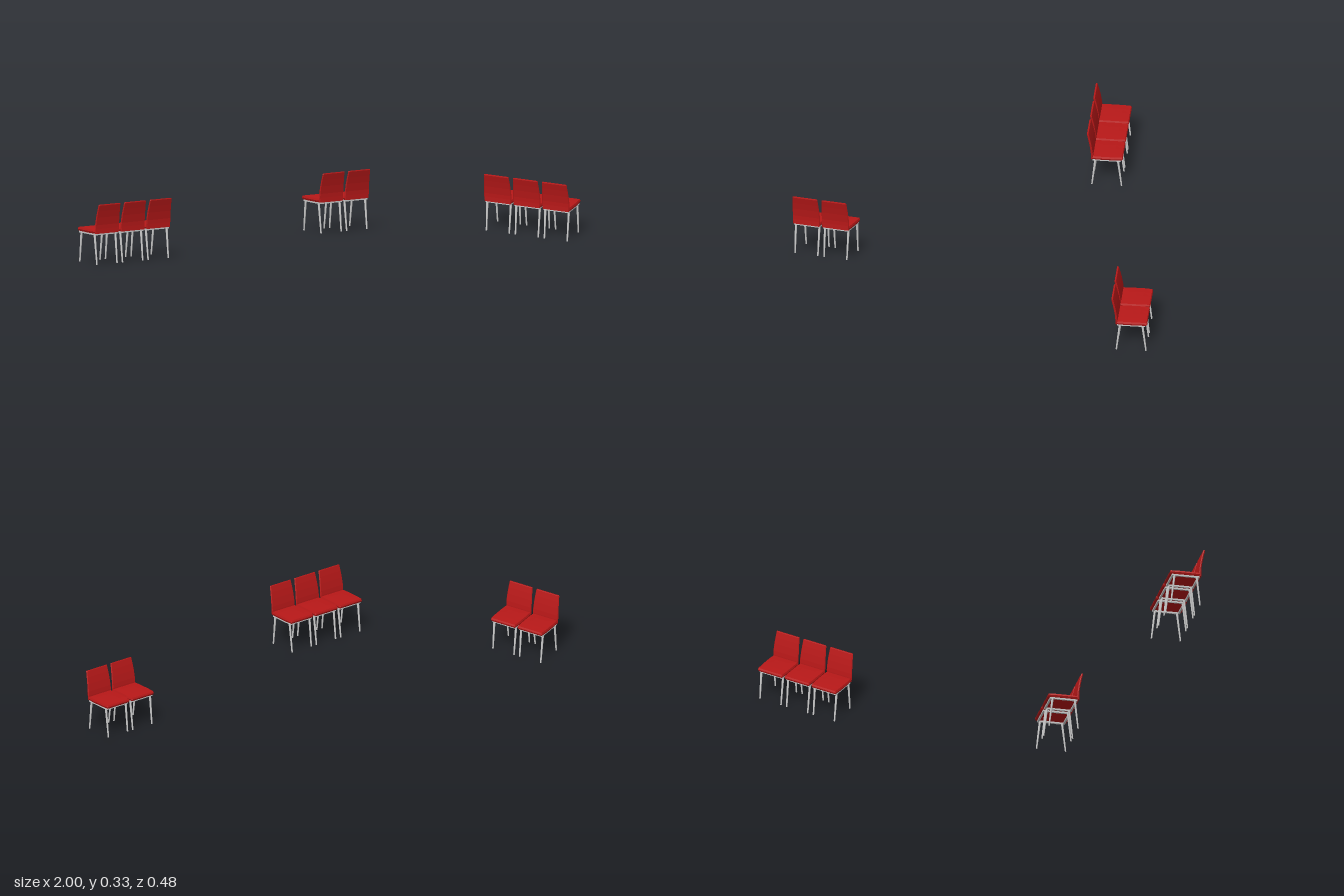
import * as THREE from 'three';

const red = new THREE.MeshStandardMaterial({ color: 0xb81818, flatShading: true });
const grey = new THREE.MeshStandardMaterial({ color: 0xcccccc });

// Cushion swept through stations [z, y, half width, half thickness, crown]
function cushion(name, stations) {
  const X = new THREE.Vector3(1, 0, 0);
  const centres = stations.map(([z, y]) => new THREE.Vector3(0, y, z));
  const pos = [], index = [], n = 8;
  stations.forEach(([z, y, w, t, crown], i) => {
    const a = centres[Math.max(i - 1, 0)], b = centres[Math.min(i + 1, centres.length - 1)];
    const N = b.clone().sub(a).normalize().cross(X);
    const e = w - 0.004;
    const ring = [[w, 0], [e, t], [e * 0.5, t + crown * 0.8], [0, t + crown],
      [-e * 0.5, t + crown * 0.8], [-e, t], [-w, 0], [-e, -t], [e, -t]];
    for (const [u, v] of ring) pos.push(u, y + N.y * v, z + N.z * v);
  });
  const m = n + 1, last = (stations.length - 1) * m;
  for (let s = 0; s < last; s += m) {
    for (let i = 0; i < m; i++) {
      const a = s + i, b = s + (i + 1) % m;
      index.push(a, b, b + m, a, b + m, a + m);
    }
  }
  // End caps
  for (let i = 1; i < m - 1; i++) {
    index.push(0, i + 1, i, last, last + i, last + i + 1);
  }
  const geo = new THREE.BufferGeometry();
  geo.setAttribute('position', new THREE.Float32BufferAttribute(pos, 3));
  geo.setIndex(index);
  geo.computeVertexNormals();
  const mesh = new THREE.Mesh(geo, red);
  mesh.name = name;
  return mesh;
}

// Tapered leg from its foot to the frame
function leg(foot, top) {
  const dir = top.clone().sub(foot);
  const mesh = new THREE.Mesh(new THREE.CylinderGeometry(0.0063, 0.0042, dir.length(), 12), grey);
  mesh.position.copy(foot).add(top).multiplyScalar(0.5);
  mesh.quaternion.setFromUnitVectors(new THREE.Vector3(0, 1, 0), dir.normalize());
  mesh.name = 'leg';
  return mesh;
}

function rail(name, w, d, x, z) {
  const mesh = new THREE.Mesh(new THREE.BoxGeometry(w, 0.009, d), grey);
  mesh.position.set(x, 0.1645, z);
  mesh.name = name;
  return mesh;
}

function createChair() {
  const chair = new THREE.Group();
  chair.name = 'chair';

  // Upholstered seat, gently crowned, with a bevelled front edge
  chair.add(cushion('seat', [
    [-0.087, 0.179, 0.074, 0.002, 0],
    [-0.083, 0.179, 0.077, 0.0095, 0],
    [-0.04, 0.179, 0.08, 0.01, 0.0015],
    [0, 0.179, 0.08, 0.01, 0.002],
    [0.04, 0.179, 0.08, 0.01, 0.0015],
    [0.076, 0.179, 0.078, 0.0095, 0],
  ]));

  // Backrest, curving away from the seat and narrowing to the top
  chair.add(cushion('backrest', [
    [0.079, 0.169, 0.077, 0.0062, 0],
    [0.079, 0.195, 0.0795, 0.0058, 0],
    [0.0805, 0.217, 0.079, 0.0052, 0],
    [0.087, 0.258, 0.077, 0.005, 0],
    [0.0945, 0.293, 0.0745, 0.005, 0],
    [0.1025, 0.325, 0.072, 0.005, 0],
    [0.103, 0.328, 0.071, 0.004, 0],
  ]));

  // Rail frame under the seat and splayed legs
  for (const s of [-1, 1]) {
    chair.add(rail('sideRail', 0.01, 0.152, s * 0.068, 0));
    chair.add(rail('crossRail', 0.126, 0.01, 0, s * 0.071));
    for (const x of [-1, 1]) {
      chair.add(leg(new THREE.Vector3(x * 0.066, 0, s * 0.08),
        new THREE.Vector3(x * 0.068, 0.164, s * 0.061)));
    }
  }
  return chair;
}

export function createModel() {
  const model = new THREE.Group();
  model.name = 'chairRows';
  // A row of three and a row of two
  const rows = [
    ['rowOfThree', [-0.92, -0.752, -0.584], 0.1335],
    ['rowOfTwo', [0.752, 0.92], -0.1535],
  ];
  for (const [name, xs, z] of rows) {
    const row = new THREE.Group();
    row.name = name;
    for (const x of xs) {
      const chair = createChair();
      chair.position.set(x, 0, z);
      row.add(chair);
    }
    model.add(row);
  }
  return model;
}
